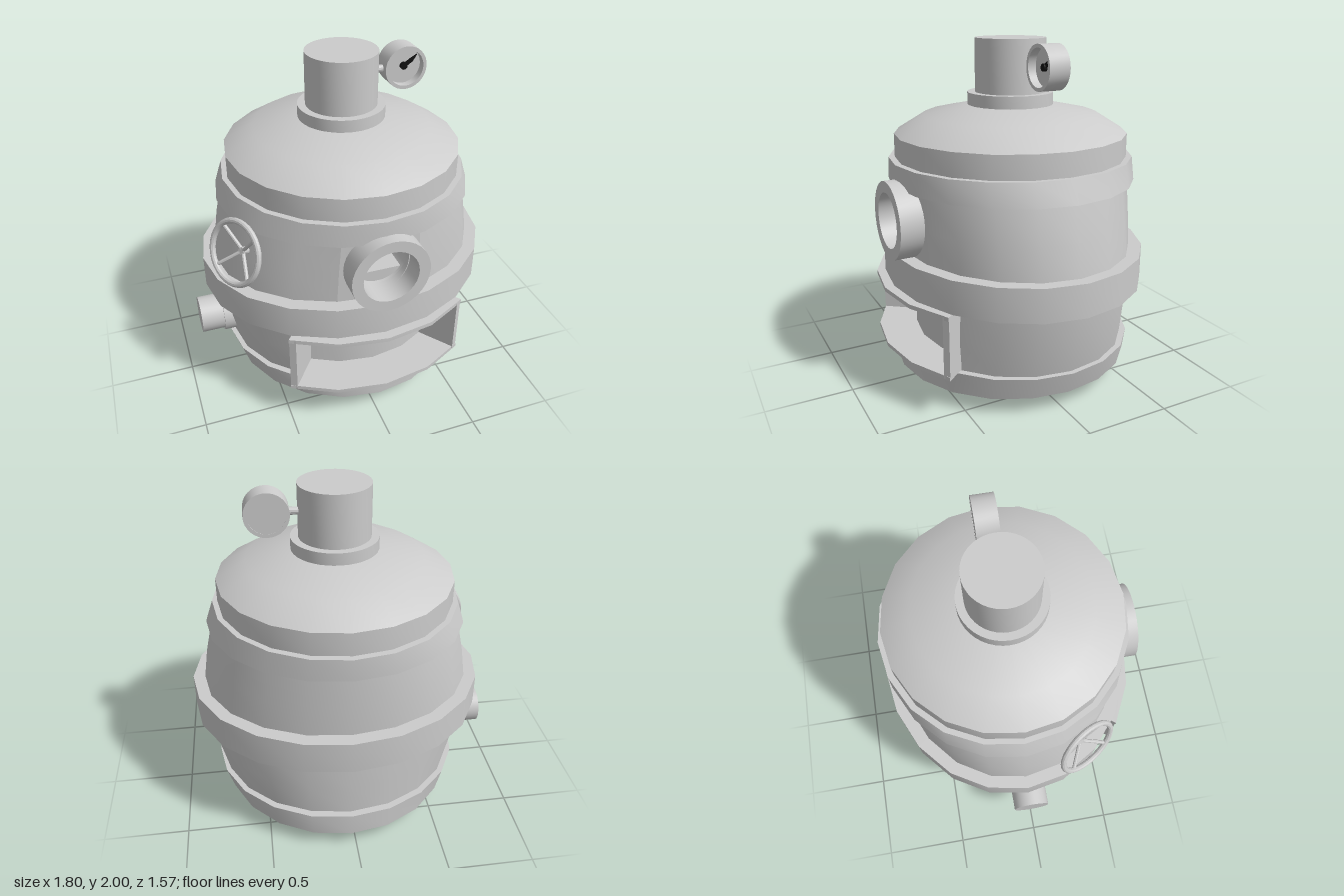
import * as THREE from 'three';
import { toCreasedNormals } from 'three/addons/utils/BufferGeometryUtils.js';

const grey = new THREE.MeshStandardMaterial({ color: 0xcccccc, side: THREE.DoubleSide });
const black = new THREE.MeshStandardMaterial({ color: 0x111111, side: THREE.DoubleSide });
const SIDES = 20, STEP = (Math.PI * 2) / SIDES;

export function createModel() {
  const model = new THREE.Group();
  model.name = 'barrelStove';
  const axis = new THREE.Group();
  axis.name = 'stove';
  axis.position.set(0.03, 0, -0.03);
  model.add(axis);

  function add(name, geometry, parent = axis, material = grey) {
    const mesh = new THREE.Mesh(toCreasedNormals(geometry, 0.5), material);
    mesh.name = name;
    parent.add(mesh);
    return mesh;
  }

  // Elliptical lathe: points are [radius in x, y, radius in z]; "gap" leaves out front segments on each side
  function oval(name, points, gap = 0, sides = SIDES) {
    const n = sides - 2 * gap;
    const geo = new THREE.LatheGeometry(
      points.map(([r, y]) => new THREE.Vector2(r, y)), n, gap * STEP, Math.PI * 2 - 2 * gap * STEP);
    const p = geo.attributes.position;
    for (let i = 0; i < p.count; i++) {
      const [rx, , rz = rx] = points[i % points.length];
      if (rx > 0) p.setZ(i, p.getZ(i) * rz / rx);
    }
    return add(name, geo);
  }

  // Barrel half width between the middle and upper hoops
  const bulge = (y) => 0.8 - 0.075 * Math.pow(Math.max(0, (y - 0.81) / 0.39), 1.3);
  const RZ = 0.675;

  // Barrel, with the front left open for the firebox and the porthole
  oval('base', [[0, 0], [0.21, 0.002], [0.42, 0.04], [0.63, 0.1]]);
  oval('lowerBarrel', [[0.725, 0.235, RZ], [0.77, 0.42, RZ], [0.8, 0.62, RZ]], 2);
  oval('middleBarrel', [[0.8, 0.62, RZ], [0.8, 0.81, RZ]]);
  oval('upperBarrel', [0.81, 1.0, 1.2].map((y) => [bulge(y), y, RZ]), 1);
  oval('shoulder', [[0.725, 1.2, RZ], [0.68, 1.33, RZ]]);
  oval('dome', [[0.68, 1.31], [0.68, 1.465], [0.51, 1.57], [0.2, 1.635], [0, 1.635]]);

  // Hoops
  oval('lowerHoop', [[0.6, 0.1, 0.6], [0.71, 0.1, 0.717], [0.755, 0.238, 0.717], [0.65, 0.238, 0.6]]);
  oval('middleHoop', [[0.75, 0.62, 0.64], [0.87, 0.62, 0.755], [0.87, 0.815, 0.755], [0.75, 0.815, 0.64]]);
  oval('upperHoop', [[0.69, 1.2, 0.64], [0.755, 1.2, 0.717], [0.71, 1.33, 0.717], [0.62, 1.33, 0.62]]);

  // Chimney
  oval('chimneyCollar', [[0.25, 1.62], [0.25, 1.695], [0, 1.695]], 0, 40);
  oval('chimney', [[0.205, 1.69], [0.205, 2], [0, 2]], 0, 40);

  // Two flat front facets of the barrel with a round hole
  const PX = 0.01, PY = 1.02, PR = 0.165;
  for (const side of [-1, 1]) {
    const w = (y) => bulge(y) * Math.sin(STEP);
    const pts = [[0, 0.81], [w(0.81), 0.81], [w(1), 1], [w(1.2), 1.2], [0, 1.2]];
    for (let i = 0; i <= 12; i++) {
      const a = Math.PI / 2 - (i / 12) * Math.PI;
      pts.push([PR * Math.cos(a), PY + PR * Math.sin(a)]);
    }
    const geo = new THREE.ShapeGeometry(new THREE.Shape(pts.map(([x, y]) => new THREE.Vector2(x * side, y))));
    const p = geo.attributes.position;
    for (let i = 0; i < p.count; i++) {
      const t = Math.abs(p.getX(i)) / w(p.getY(i));
      p.setZ(i, RZ * (1 - (1 - Math.cos(STEP)) * t));
    }
    add('portholePanel', geo);
  }

  // Ring extruded along z
  function ring(name, outer, inner, depth, parent) {
    const shape = new THREE.Shape().absarc(0, 0, outer, 0, Math.PI * 2);
    shape.holes.push(new THREE.Path().absarc(0, 0, inner, 0, Math.PI * 2, true));
    return add(name, new THREE.ExtrudeGeometry(shape, { depth, bevelEnabled: false, curveSegments: 16 }), parent);
  }

  // Porthole with a recess and an inner ledge
  const porthole = new THREE.Group();
  porthole.name = 'porthole';
  porthole.position.set(PX, PY, 0);
  axis.add(porthole);
  ring('portholeRim', 0.225, 0.16, 0.17, porthole).position.z = 0.61;
  const lining = new THREE.CylinderGeometry(0.162, 0.162, 0.3, 32, 1, true).rotateX(Math.PI / 2);
  add('portholeLining', lining, porthole).position.z = 0.48;
  add('portholeBack', new THREE.CircleGeometry(0.163, 32), porthole).position.z = 0.33;
  add('portholeLedge', new THREE.BoxGeometry(0.27, 0.07, 0.26), porthole).position.set(0, -0.125, 0.46);

  // Curved slab: a sector of the firebox oval between two angles and two scales
  function sector(name, a0, a1, s0, s1, y0, y1) {
    const pts = [], n = Math.max(1, Math.round((a1 - a0) / STEP));
    const at = (s, a) => new THREE.Vector2(0.87 * s * Math.sin(a), -0.81 * s * Math.cos(a));
    for (let i = 0; i <= n; i++) pts.push(at(s1, a0 + (a1 - a0) * i / n));
    for (let i = n; i >= 0; i--) pts.push(at(s0, a0 + (a1 - a0) * i / n));
    const geo = new THREE.ExtrudeGeometry(new THREE.Shape(pts), { depth: y1 - y0, bevelEnabled: false });
    add(name, geo.rotateX(-Math.PI / 2)).position.y = y0;
  }

  // Firebox mouth
  const A = 0.657, B = 0.61;
  sector('fireboxTop', -A, A, 0.7, 1, 0.595, 0.62);
  sector('fireboxFloor', -A, A, 0.7, 1, 0.245, 0.268);
  sector('fireboxSide', -A, -B, 0.7, 0.995, 0.25, 0.615);
  sector('fireboxSide', B, A, 0.7, 0.995, 0.25, 0.615);
  sector('fireboxBack', -A, A, 0.69, 0.72, 0.25, 0.615);

  // Pressure gauge
  const gauge = new THREE.Group();
  gauge.name = 'gauge';
  gauge.position.set(0.375, 1.86, 0);
  axis.add(gauge);
  ring('gaugeRim', 0.125, 0.105, 0.125, gauge).position.z = -0.09;
  const dial = new THREE.CylinderGeometry(0.124, 0.124, 0.075, 32).rotateX(Math.PI / 2);
  add('gaugeDial', dial.scale(0.99, 0.99, 1), gauge).position.z = -0.0505;
  const stem = new THREE.CylinderGeometry(0.022, 0.022, 0.1, 12).rotateZ(Math.PI / 2);
  add('gaugeStem', stem, gauge).position.set(-0.155, -0.005, -0.02);
  add('needleHub', new THREE.CylinderGeometry(0.021, 0.021, 0.02, 16).rotateX(Math.PI / 2), gauge, black).position.z = -0.004;
  const needle = new THREE.Shape([[-0.012, 0], [0.012, 0], [0.016, 0.055], [0, 0.1], [-0.007, 0.055]]
    .map(([x, y]) => new THREE.Vector2(x, y)));
  const hand = add('needle', new THREE.ExtrudeGeometry(needle, { depth: 0.008, bevelEnabled: false }), gauge, black);
  hand.position.z = -0.008;
  hand.rotation.z = -0.92;

  // Side pipe
  function pipe(name, r, x0, x1, y) {
    const geo = new THREE.CylinderGeometry(r, r, x1 - x0, 32).rotateZ(Math.PI / 2);
    add(name, geo).position.set((x0 + x1) / 2, y, 0.02);
  }
  pipe('sidePipe', 0.11, -0.935, -0.7, 0.41);
  pipe('sidePipeFlange', 0.124, -0.8, -0.66, 0.41);

  // Hand wheel, its spokes dished in to a hub on the barrel
  const wheel = new THREE.Group();
  wheel.name = 'handWheel';
  wheel.position.set(-0.735, 1.07, 0.36);
  wheel.lookAt(new THREE.Vector3(-0.735 - 0.82, 1.07 + 0.3, 0.36 + 0.48));
  axis.add(wheel);
  add('wheelRim', new THREE.TorusGeometry(0.178, 0.017, 10, 32), wheel);
  for (let i = 0; i < 4; i++) {
    const a = Math.PI / 4 + i * Math.PI / 2;
    const line = new THREE.LineCurve3(
      new THREE.Vector3(0, 0, -0.06), new THREE.Vector3(0.178 * Math.cos(a), 0.178 * Math.sin(a), 0));
    add('wheelSpoke', new THREE.TubeGeometry(line, 1, 0.011, 8), wheel);
  }
  const hub = new THREE.CylinderGeometry(0.022, 0.022, 0.12, 12).rotateX(Math.PI / 2);
  add('wheelHub', hub, wheel).position.z = -0.105;

  return model;
}
